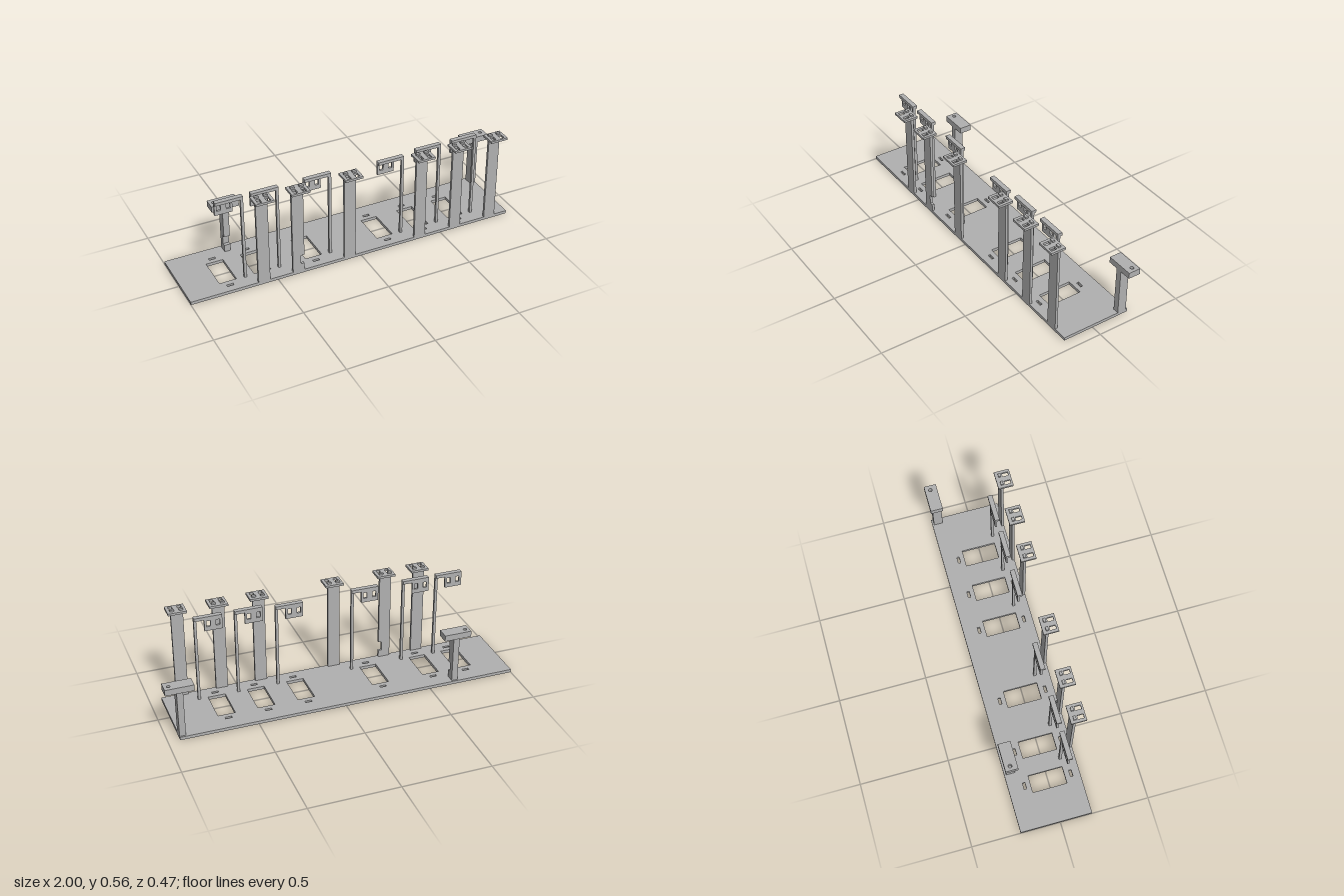
import * as THREE from 'three';

const grey = new THREE.MeshStandardMaterial({ color: 0xb0b0b0 });
grey.name = 'plain grey';

function add(parent, name, geometry) {
  const mesh = new THREE.Mesh(geometry, grey);
  mesh.name = name;
  parent.add(mesh);
  return mesh;
}

// Box given by its minimum and maximum corners
function box(parent, name, x0, x1, y0, y1, z0, z1) {
  const g = new THREE.BoxGeometry(x1 - x0, y1 - y0, z1 - z0);
  return add(parent, name, g.translate((x0 + x1) / 2, (y0 + y1) / 2, (z0 + z1) / 2));
}

function rect(Type, x0, x1, y0, y1) {
  const p = new Type();
  p.moveTo(x0, y0);
  p.lineTo(x1, y0);
  p.lineTo(x1, y1);
  p.lineTo(x0, y1);
  p.closePath();
  return p;
}

const hole = (x0, x1, y0, y1) => rect(THREE.Path, x0, x1, y0, y1);

function extrude(shape, depth) {
  return new THREE.ExtrudeGeometry(shape, { depth, bevelEnabled: false, curveSegments: 16 });
}

// Horizontal plate with holes: the shape's second axis is z
function plate(parent, name, x0, x1, y0, y1, z0, z1, holes) {
  const shape = rect(THREE.Shape, x0, x1, z0, z1);
  shape.holes.push(...holes);
  const g = extrude(shape, y1 - y0);
  g.rotateX(Math.PI / 2);
  return add(parent, name, g.translate(0, y1, 0));
}

// Upright profile from a to b, with an optional square notch in the b edge
function postShape(a, b, y0, y1, notched) {
  const s = new THREE.Shape();
  s.moveTo(a, y0);
  s.lineTo(b, y0);
  if (notched) {
    s.lineTo(b, 0.06);
    s.lineTo(b - 0.02, 0.06);
    s.lineTo(b - 0.02, 0.115);
    s.lineTo(b, 0.115);
  }
  s.lineTo(b, y1);
  s.lineTo(a, y1);
  s.closePath();
  return s;
}

const FLOOR = 0.018;
const windows = [-0.805, -0.605, -0.3, 0.14, 0.37, 0.595];
const columns = [-0.58, -0.378, -0.07, 0.365, 0.592, 0.82];

export function createModel() {
  const model = new THREE.Group();
  model.name = 'bracketRack';

  // Base with windows and a small slot before and behind each
  const baseHoles = [];
  for (const x of windows) {
    const c = x + 0.048;
    baseHoles.push(hole(x, x + 0.098, -0.1, 0.095));
    baseHoles.push(hole(c - 0.019, c + 0.019, -0.141, -0.127));
    baseHoles.push(hole(c - 0.019, c + 0.019, 0.124, 0.138));
  }
  plate(model, 'base', -1, 0.935, 0, FLOOR, -0.225, 0.18, baseHoles);

  // Hanging brackets: thin post, arm, and a tab with two openings
  windows.forEach((x, i) => {
    const g = new THREE.Group();
    g.name = 'hangingBracket' + (i + 1);
    model.add(g);
    const top = i === 3 ? 0.517 : 0.533;
    box(g, 'thinPost', x + 0.14, x + 0.155, FLOOR, top - 0.018, 0.09, 0.105);
    box(g, 'arm', x, x + 0.155, top - 0.018, top, 0.078, 0.105);
    const tab = rect(THREE.Shape, x, x + 0.1, top - 0.085, top - 0.018);
    for (const d of [0.013, 0.066]) {
      tab.holes.push(hole(x + d, x + d + 0.022, top - 0.06, top - 0.026));
    }
    add(g, 'tab', extrude(tab, 0.012)).position.z = 0.078;
  });

  // Front columns: flat post, top plate and two tenons passing through it
  columns.forEach((x, i) => {
    const g = new THREE.Group();
    g.name = 'frontColumn' + (i + 1);
    model.add(g);
    const post = extrude(postShape(x - 0.034, x + 0.034, FLOOR, 0.537, i === 1), 0.015);
    add(g, 'columnPost', post).position.z = 0.165;
    const openings = [];
    for (const s of [-0.025, 0.025]) {
      openings.push(hole(x + s - 0.011, x + s + 0.011, 0.188, 0.222));
      box(g, 'tenon', x + s - 0.011, x + s + 0.011, 0.537, 0.56, 0.165, 0.18);
    }
    plate(g, 'columnPlate', x - 0.052, x + 0.052, 0.537, 0.55, 0.147, 0.233, openings);
  });

  // Rear supports: post and thick end plate with a round hole at its outer end
  for (const side of [1, -1]) {
    const g = new THREE.Group();
    g.name = side > 0 ? 'leftRearSupport' : 'rightRearSupport';
    model.add(g);
    const postX = side > 0 ? 0.9175 : -0.6525;
    const x0 = side > 0 ? 0.842 : -0.73;
    const x1 = side > 0 ? 1 : -0.573;
    const post = extrude(postShape(-0.215, -0.163, FLOOR, 0.295, side < 0), 0.035);
    post.rotateY(-Math.PI / 2);
    add(g, 'rearPost', post).position.x = postX + 0.0175;
    const round = new THREE.Path();
    round.absarc(side > 0 ? 0.972 : -0.705, -0.202, 0.01, 0, Math.PI * 2, true);
    plate(g, 'rearPlate', x0, x1, 0.295, 0.33, -0.233, -0.163, [round]);
  }

  return model;
}
